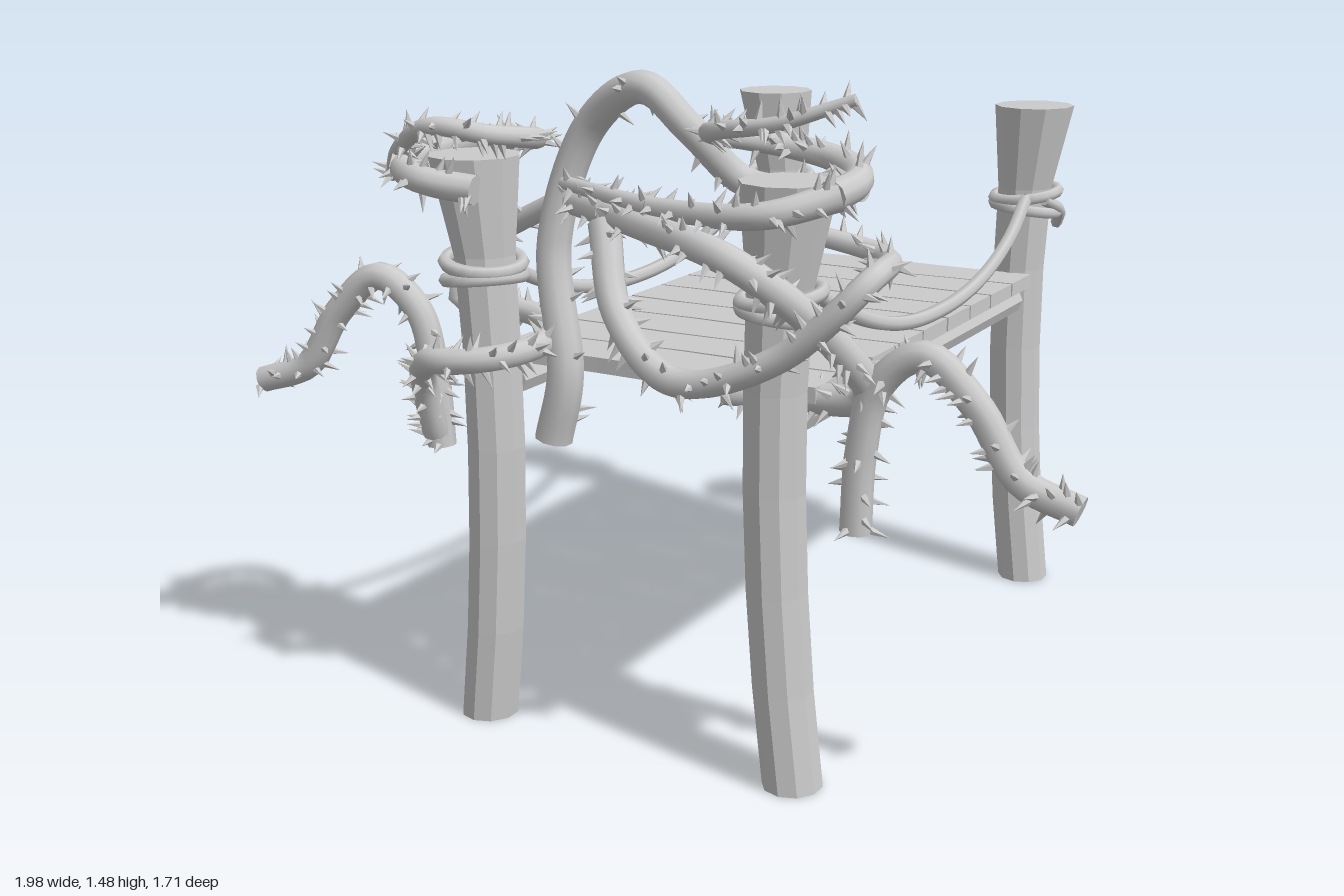
import * as THREE from 'three';
import { mergeGeometries } from 'three/addons/utils/BufferGeometryUtils.js';

const smooth = new THREE.MeshStandardMaterial({ color: 0xcccccc, side: THREE.DoubleSide });
const flat = new THREE.MeshStandardMaterial({ color: 0xcccccc, flatShading: true });

let seed = 7;
const rand = () => {
  seed = (seed * 16807) % 2147483647;
  return seed / 2147483647;
};

function add(parent, name, geometry, material) {
  const mesh = new THREE.Mesh(geometry, material);
  mesh.name = name;
  parent.add(mesh);
  return mesh;
}

const toCurve = (points) => new THREE.CatmullRomCurve3(points.map((p) => new THREE.Vector3(...p)));

// Points generated by a rule over t = 0..1
const trace = (n, rule) => Array.from({ length: n + 1 }, (_, i) => rule(i / n));

// Points winding around a post between two heights and two angles
const coil = (x, z, y0, y1, a0, a1) => trace(8, (t) => {
  const a = THREE.MathUtils.lerp(a0, a1, t) * Math.PI;
  return [x + 0.15 * Math.cos(a), THREE.MathUtils.lerp(y0, y1, t), z + 0.13 * Math.sin(a)];
});

// Bowed post with a flared head
function postGeometry(side, shift) {
  const g = new THREE.CylinderGeometry(1, 1, 1, 10, 6);
  const p = g.attributes.position;
  for (let i = 0; i < p.count; i++) {
    const y = 0.01 + 1.275 * (p.getY(i) + 0.5);
    const r = 0.065 + 0.15 * Math.max(0, y - 1.05);
    const x = side * (0.326 + 0.092 * (y - 0.7) ** 2) + shift;
    p.setXYZ(i, p.getX(i) * r + x, y, p.getZ(i) * r);
  }
  return g;
}

// Tube tapering from r0 to r1, with closed ends
function taperedTube(curve, r0, r1, segments, sides) {
  const g = new THREE.TubeGeometry(curve, segments, 1, sides, false);
  const p = g.attributes.position;
  const v = new THREE.Vector3();
  for (let i = 0; i <= segments; i++) {
    const c = curve.getPointAt(i / segments);
    const r = THREE.MathUtils.lerp(r0, r1, i / segments);
    for (let j = 0; j <= sides; j++) {
      const k = i * (sides + 1) + j;
      v.fromBufferAttribute(p, k).sub(c).multiplyScalar(r).add(c);
      p.setXYZ(k, v.x, v.y, v.z);
    }
  }
  const caps = [[0, r0, -1], [1, r1, 1]].map(([t, r, dir]) => {
    const q = new THREE.Quaternion().setFromUnitVectors(
      new THREE.Vector3(0, 0, 1), curve.getTangentAt(t).multiplyScalar(dir));
    const at = curve.getPointAt(t);
    return new THREE.CircleGeometry(r, sides).applyQuaternion(q).translate(at.x, at.y, at.z);
  });
  return mergeGeometries([g, ...caps]);
}

// Vine with cone thorns scattered over its surface
function addVine(parent, name, r0, r1, density, points) {
  const vine = new THREE.Group();
  vine.name = name;
  parent.add(vine);
  const curve = toCurve(points);
  const length = curve.getLength();
  add(vine, 'stem', taperedTube(curve, r0, r1, Math.ceil(length * 45), 10), smooth);
  const up = new THREE.Vector3(0, 1, 0);
  const count = Math.round(length * density);
  const thorns = trace(count - 1, (s) => {
    const t = Math.min(1, s + rand() / count);
    const tangent = curve.getTangentAt(t);
    const out = new THREE.Vector3(rand() - 0.5, rand() - 0.5, rand() - 0.5).cross(tangent).normalize();
    const size = 0.034 + rand() * 0.014;
    const at = curve.getPointAt(t).addScaledVector(out, THREE.MathUtils.lerp(r0, r1, t) + size * 0.3);
    const lean = out.addScaledVector(tangent, 0.3).normalize();
    return new THREE.ConeGeometry(0.01, size, 5)
      .applyQuaternion(new THREE.Quaternion().setFromUnitVectors(up, lean))
      .translate(at.x, at.y, at.z);
  });
  add(vine, 'thorns', mergeGeometries(thorns), flat);
}

function addVines(model) {
  // Drooping vine outside each front post, mirrored
  const droop = [[0.98, 0.7], [0.86, 0.745], [0.77, 0.88], [0.66, 0.97], [0.565, 0.9], [0.53, 0.76], [0.52, 0.59]];
  for (const side of [-1, 1]) {
    addVine(model, side < 0 ? 'rightDroopingVine' : 'leftDroopingVine', 0.031, 0.033, 75,
      droop.map(([x, y]) => [side * x, y - side * 0.015, side < 0 ? 0.51 + 0.135 * x : 0.615 - 0.045 * x]));
  }

  // Vines wound around the front posts
  addVine(model, 'rightPostCrown', 0.016, 0.032, 75, [
    [-0.6, 1.22, 0.61], [-0.5, 1.3, 0.7], ...coil(-0.38, 0.62, 1.355, 1.225, 0.5, -1.7)]);
  addVine(model, 'rightPostLowerVine', 0.03, 0.024, 75, [
    [-0.52, 0.64, 0.6], [-0.5, 0.78, 0.66], ...coil(-0.35, 0.63, 0.85, 0.94, 0.65, -0.8),
    [-0.43, 1.06, 0.51], [-0.22, 1.18, 0.53]]);
  addVine(model, 'leftPostCrown', 0.032, 0.012, 75, [
    ...coil(0.375, 0.63, 1.27, 1.39, 0.15, -1.35), [0.43, 1.41, 0.77], [0.58, 1.46, 0.74]]);

  // Vines spanning the entrance
  addVine(model, 'archVine', 0.042, 0.03, 25, [
    [-0.2, 0.67, 0.6], [-0.165, 0.82, 0.6], [-0.205, 1.1, 0.57], [-0.12, 1.35, 0.55],
    [0.03, 1.44, 0.58], [0.14, 1.36, 0.58], [0.23, 1.25, 0.51], [0.51, 1.27, 0.56]]);
  addVine(model, 'crossingVine', 0.03, 0.034, 75, [
    [-0.2, 1.19, 0.54], [0.1, 1.18, 0.7], [0.36, 1.14, 0.79], [0.5, 0.98, 0.66],
    [0.53, 0.85, 0.56], [0.28, 0.82, 0.53], [0.21, 0.83, 0.58]]);
  addVine(model, 'swagVine', 0.034, 0.02, 55, [
    [-0.02, 1.17, 0.66], [0.06, 1.0, 0.74], [0.22, 0.9, 0.8], [0.45, 0.97, 0.8],
    [0.62, 1.13, 0.76], [0.54, 1.13, 0.52], [0.35, 1.16, 0.5]]);
  addVine(model, 'upperCrossingVine', 0.015, 0.03, 75, [
    [-0.17, 1.23, 0.58], [0.15, 1.22, 0.71], [0.4, 1.235, 0.76], [0.52, 1.27, 0.68]]);
}

export function createModel() {
  const model = new THREE.Group();
  model.name = 'vineFootbridge';

  for (const side of [-1, 1]) {
    const label = side < 0 ? 'right' : 'left';
    const shift = side > 0 ? 0.033 : 0;

    for (const [end, z] of [['Front', 0.637], ['Back', -0.74]]) {
      add(model, label + end + 'Post', postGeometry(side, shift), flat).position.z = z;

      // Two tilted loops of rope around each post
      for (const tilt of [-1, 1]) {
        const loop = add(model, label + end + 'RopeLoop', new THREE.TorusGeometry(0.083, 0.015, 6, 20), smooth);
        loop.rotation.set(Math.PI / 2 + tilt * 0.09, side * tilt * 0.11, 0);
        loop.position.set(side * 0.342 + shift, 1.038 + tilt * 0.018, z);
      }
    }

    // Loose rope end below the back knot
    const tail = toCurve([[0.41, 1.05, -0.69], [0.43, 1.02, -0.75], [0.4, 0.97, -0.82]]
      .map(([x, y, z]) => [side * x + shift, y, z]));
    add(model, label + 'RopeTail', taperedTube(tail, 0.015, 0.015, 8, 6), smooth);

    // Sagging hand rope
    const rope = toCurve(trace(10, (t) => {
      const s = 2 * t - 1;
      return [side * (0.39 - 0.02 * s ** 4) + shift, 0.888 + 0.165 * Math.abs(s) ** 2.2, -0.05 - 0.61 * s];
    }));
    add(model, label + 'HandRope', taperedTube(rope, 0.017, 0.017, 32, 6), smooth);

    // Round beam carrying the deck
    const beam = add(model, label + 'DeckBeam', new THREE.CylinderGeometry(0.038, 0.038, 1.26, 8), flat);
    beam.rotation.x = Math.PI / 2;
    beam.position.set(side * 0.325 + shift, 0.783, -0.055);
  }

  // Deck planks with slightly uneven long edges
  for (let i = 0; i < 9; i++) {
    const g = new THREE.BoxGeometry(0.78, 0.034, 0.132, 6, 1, 1);
    const p = g.attributes.position;
    for (let k = 0; k < p.count; k++) {
      const edge = Math.sign(p.getZ(k));
      p.setZ(k, p.getZ(k) + 0.004 * Math.sin(p.getX(k) * 11 + i * 2.3 + edge));
    }
    add(model, 'deckPlank', g, flat).position.set(0.025, 0.838, -0.617 + i * 0.14);
  }

  addVines(model);
  return model;
}
